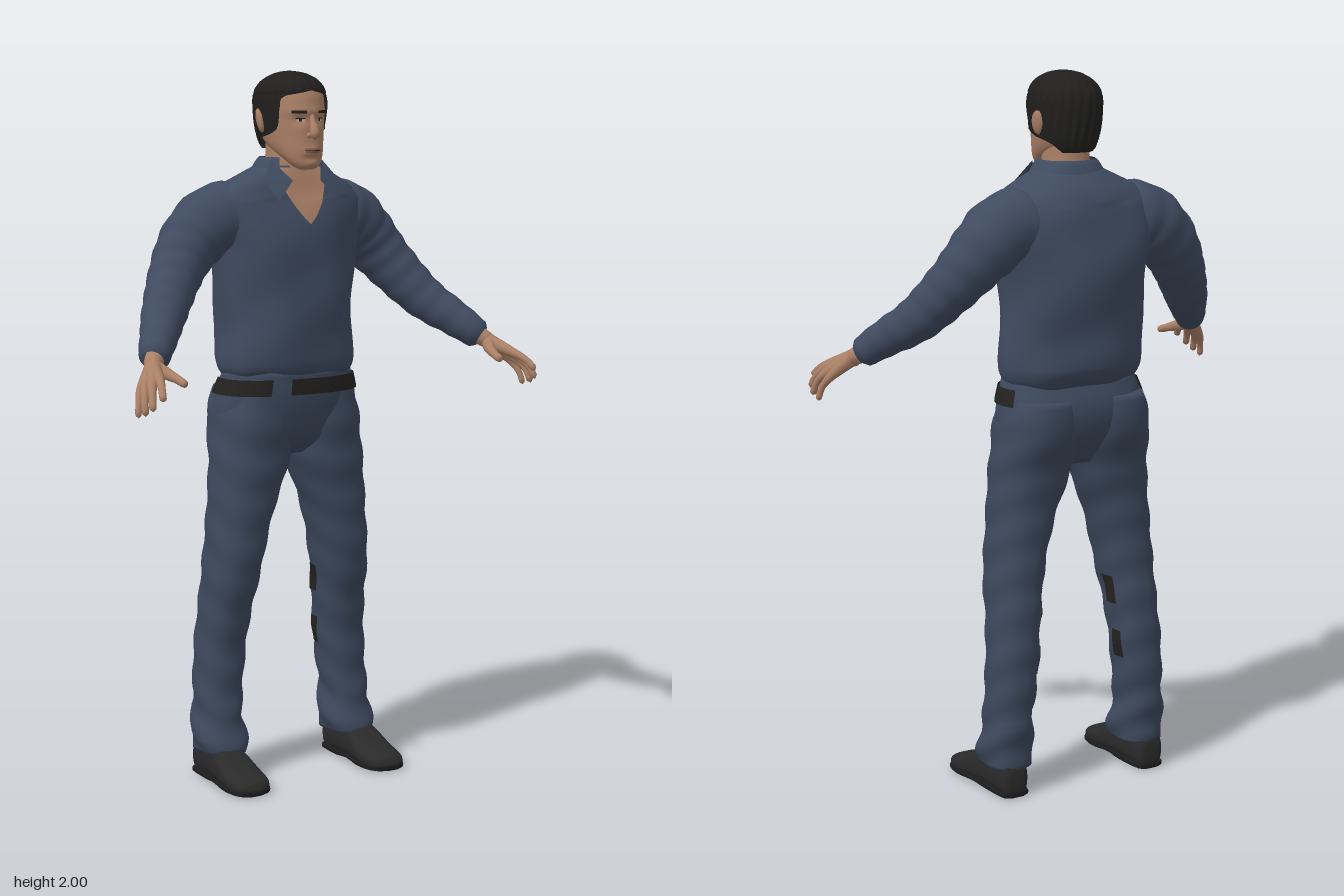
import * as THREE from 'three';
import { mergeVertices } from 'three/addons/utils/BufferGeometryUtils.js';

const paint = (name, color) => Object.assign(new THREE.MeshStandardMaterial({ color, side: THREE.DoubleSide }), { name });
const PI = Math.PI;

// Smooth interpolation of table rows, keyed by their first column
function sample(rows, y) {
  let i = 0;
  while (i < rows.length - 2 && y > rows[i + 1][0]) i++;
  const a = rows[i], b = rows[i + 1], h = b[0] - a[0], u = THREE.MathUtils.clamp((y - a[0]) / h, 0, 1);
  const slope = (k, c) => {
    const p = rows[Math.max(k - 1, 0)], q = rows[Math.min(k + 1, rows.length - 1)];
    return (q[c] - p[c]) / (q[0] - p[0]);
  };
  return a.map((v, c) => c === 0 ? y :
    v * (1 + 2 * u) * (1 - u) ** 2 + b[c] * u * u * (3 - 2 * u) +
    h * (slope(i, c) * u * (1 - u) ** 2 - slope(i + 1, c) * u * u * (1 - u)));
}

// Skin over rows of [y, xMin, xMax, zBack, zFront]; arc(y) limits it to an open patch
function loft(rows, { seg = 40, exp = 2.3, grow = 0, range, arc, bump = () => 0 } = {}) {
  const ys = [], pos = [], idx = [], cols = arc ? seg + 1 : seg;
  if (range) for (let i = 0; i <= 10; i++) ys.push(range[0] + (range[1] - range[0]) * i / 10);
  else {
    for (let i = 0; i < rows.length - 1; i++)
      for (let k = 0; k < 5; k++) ys.push(rows[i][0] + (rows[i + 1][0] - rows[i][0]) * k / 5);
    ys.push(rows[rows.length - 1][0]);
  }
  const pw = v => Math.sign(v) * Math.abs(v) ** (2 / exp);
  for (const y of ys) {
    const [, x0, x1, zb, zf] = sample(rows, y), [a0, a1] = arc ? arc(y) : [0, 2 * PI];
    for (let j = 0; j < cols; j++) {
      const a = a0 + (a1 - a0) * j / seg, c = Math.cos(a), s = Math.sin(a);
      const x = (x0 + x1) / 2 + (x1 - x0) / 2 * pw(c), z = (zb + zf) / 2 + (zf - zb) / 2 * pw(s);
      const d = grow + bump(x, y, z, a);
      pos.push(x + c * d, y, z + s * d);
    }
  }
  for (let i = 0; i < ys.length - 1; i++)
    for (let j = 0; j < seg; j++) {
      const a = i * cols + j, b = i * cols + (j + 1) % cols;
      idx.push(a, a + cols, b, b, a + cols, b + cols);
    }
  if (!arc) for (const top of [0, 1]) {
    const r = sample(rows, ys[top * (ys.length - 1)]), base = top * (ys.length - 1) * cols, m = pos.length / 3;
    pos.push((r[1] + r[2]) / 2, r[0], (r[3] + r[4]) / 2);
    for (let j = 0; j < seg; j++) {
      const a = base + j, b = base + (j + 1) % seg;
      top ? idx.push(m, b, a) : idx.push(m, a, b);
    }
  }
  const g = new THREE.BufferGeometry();
  g.setAttribute('position', new THREE.Float32BufferAttribute(pos, 3));
  g.setIndex(idx);
  g.computeVertexNormals();
  return g;
}

// Tube through points of [x, y, z, radius]
function limb(pts, s = 1, n = 24, seg = 14, fold = 0) {
  const curve = new THREE.CatmullRomCurve3(pts.map(p => new THREE.Vector3(p[0] * s, p[1], p[2])), false, 'catmullrom');
  const radii = pts.map((p, i) => [i, p[3]]);
  let g = new THREE.TubeGeometry(curve, n, 1, seg);
  const p = g.attributes.position, v = new THREE.Vector3();
  for (let i = 0; i <= n; i++) {
    const c = curve.getPointAt(i / n), r = Math.max(sample(radii, curve.getUtoTmapping(i / n) * (pts.length - 1))[1], 0);
    for (let j = 0; j <= seg; j++) {
      const k = i * (seg + 1) + j, w = 1 + fold * Math.sin(i * 1.3 + 2 * Math.sin(j / seg * 2 * PI));
      v.fromBufferAttribute(p, k).sub(c).multiplyScalar(r * w).add(c);
      p.setXYZ(k, v.x, v.y, v.z);
    }
  }
  g.deleteAttribute('normal');
  g.deleteAttribute('uv');
  g = mergeVertices(g, 1e-5);
  g.computeVertexNormals();
  return g;
}

const sym = rows => rows.map(([y, x, zb, zf]) => [y, -x, x, zb, zf]);
const side = (rows, s) => s > 0 ? rows : rows.map(([y, a, b, c, d]) => [y, -b, -a, c, d]);
const arcSide = (a0, a1, s) => () => s > 0 ? [a0, a1] : [PI - a1, PI - a0];

const TORSO = sym([[1.15, .185, -.21, .015], [1.175, .2, -.235, .035], [1.21, .205, -.255, .042], [1.3, .2, -.26, .043],
  [1.4, .203, -.272, .043], [1.5, .215, -.275, .04], [1.58, .235, -.262, .028], [1.64, .235, -.245, .013],
  [1.68, .205, -.225, 0], [1.71, .15, -.2, -.008], [1.74, .088, -.17, -.02]]);
const PELVIS = sym([[.93, .13, -.17, -.04], [.97, .2, -.2, -.005], [1.03, .222, -.23, .014], [1.1, .215, -.236, .025], [1.17, .193, -.21, .025]]);
const LEG = [[.08, .147, .284, -.192, -.032], [.12, .14, .29, -.2, -.035], [.2, .15, .28, -.205, -.055], [.3, .14, .275, -.21, -.058],
  [.4, .13, .27, -.21, -.055], [.5, .12, .262, -.205, -.035], [.6, .105, .257, -.198, -.01], [.7, .085, .25, -.194, -.002],
  [.8, .055, .243, -.194, .002], [.9, .015, .237, -.203, .008], [.97, .002, .231, -.222, .01], [1.05, .003, .221, -.246, .015], [1.12, .02, .2, -.235, .005]];
const SHOE = [[-.2, .2, .245, -.075, -.02], [-.19, .185, .26, -.1, 0], [-.1, .175, .27, -.112, 0], [-.04, .172, .278, -.1, 0],
  [.03, .165, .285, -.062, 0], [.08, .17, .282, -.046, 0], [.105, .185, .27, -.036, -.003], [.115, .21, .25, -.02, -.008]];
const HEAD = sym([[1.73, .018, -.005, .03], [1.738, .035, -.02, .036], [1.76, .053, -.06, .041], [1.79, .067, -.13, .042], [1.82, .074, -.165, .041],
  [1.86, .08, -.182, .04], [1.9, .083, -.187, .039], [1.94, .08, -.18, .03], [1.97, .062, -.15, .01], [1.99, .03, -.11, -.03]]);
const HAIR = sym([[1.785, .068, -.168, .03], [1.8, .076, -.18, .035], [1.84, .086, -.192, .045], [1.9, .091, -.197, .046],
  [1.94, .089, -.192, .039], [1.97, .073, -.17, .02], [1.99, .045, -.135, -.015], [1.997, .022, -.11, -.045], [2, .001, -.08, -.078]]);
const HAIRLINE = [[1.785, 2.4], [1.81, 2], [1.83, 1.3], [1.85, 1.08], [1.9, .98], [1.932, .8], [1.946, 0], [2, 0]];
const FINGERS = {
  index: [[.574, 1.205, .203, .014], [.59, 1.187, .245, .01], [.601, 1.163, .272, .009], [.602, 1.158, .277, 0]],
  middle: [[.59, 1.197, .193, .015], [.61, 1.168, .23, .0105], [.619, 1.136, .25, .009], [.62, 1.13, .254, 0]],
  ring: [[.6, 1.187, .175, .015], [.62, 1.155, .207, .01], [.626, 1.121, .222, .009], [.627, 1.115, .225, 0]],
  little: [[.602, 1.178, .155, .013], [.62, 1.145, .175, .009], [.627, 1.112, .185, .008], [.627, 1.106, .187, 0]],
  thumb: [[.53, 1.215, .155, .017], [.517, 1.202, .195, .012], [.512, 1.192, .228, .01], [.511, 1.19, .236, 0]],
};

export function createModel() {
  const root = new THREE.Group();
  root.name = 'standingMan';
  const shirt = paint('shirtBlue', 0x3f4b60), cloth = paint('trouserBlue', 0x3c485c), skin = paint('skin', 0xaa8066),
    hair = paint('hairBlack', 0x201f1e), leather = paint('shoeLeather', 0x2a2a2b), soleMat = paint('soleRubber', 0x1c1c1c),
    beltMat = paint('beltDark', 0x24221f), lip = paint('lipBrown', 0x8a5f50), white = paint('eyeWhite', 0xb8aaa0);
  const add = (name, geo, mat) => {
    const m = new THREE.Mesh(geo, mat);
    m.name = name;
    root.add(m);
    return m;
  };

  // Shirt body with soft folds, and the open neck
  const folds = (x, y, z, a) => .003 * Math.sin(3 * a + y * 26) + .003 * Math.sin(7 * a - y * 9) * (y < 1.65 ? 1 : 0);
  add('shirtBody', loft(TORSO, { seg: 56, bump: folds }), shirt);
  const vee = [[1.58, 0], [1.7, .36], [1.735, .75]];
  add('openNeckSkin', loft(TORSO, { seg: 12, grow: .004, bump: folds, range: [1.58, 1.735],
    arc: y => { const h = sample(vee, y)[1]; return [PI / 2 - h, PI / 2 + h]; } }), skin);
  add('neck', loft(sym([[1.66, .07, -.16, -.02], [1.72, .063, -.155, -.012], [1.78, .06, -.15, -.015], [1.84, .06, -.15, -.02]])), skin);
  add('collarBand', loft(sym([[1.69, .118, -.197, .012], [1.73, .1, -.182, .003], [1.755, .085, -.17, -.006], [1.763, .077, -.163, -.012]]),
    { arc: y => { const h = .6 + (y - 1.69) * 3; return [PI / 2 + h, 2.5 * PI - h]; } }), shirt);

  // Trousers and the belt showing under the shirt
  add('trouserSeat', loft(PELVIS), cloth);
  for (const [name, a0, a1] of [['beltLeft', -.35, 1.8], ['beltRight', 2.08, 3.5]])
    add(name, loft(PELVIS, { seg: 20, grow: .006, range: [1.105, 1.15], arc: () => [a0, a1] }), beltMat);

  // Head and face
  const bell = (x, y, w, h) => Math.exp(-((x / w) ** 2) - (y / h) ** 2);
  const face = (x, y, z) => z < -.03 ? 0 : -.008 * bell(Math.abs(x) - .033, y - 1.866, .017, .012) + .004 * bell(x, y - 1.889, .06, .009)
    + .005 * bell(x, y - 1.782, .026, .013) - .003 * bell(x, y - 1.762, .03, .007) + .004 * bell(x, y - 1.745, .02, .009);
  const onFace = (name, mat, y0, y1, a0, a1, grow, s = 1) =>
    add(name, loft(HEAD, { seg: 10, exp: 2.2, grow, bump: face, range: [y0, y1], arc: arcSide(PI / 2 - a1, PI / 2 - a0, s) }), mat);
  add('head', loft(HEAD, { seg: 64, exp: 2.2, bump: face }), skin);
  add('nose', limb([[0, 1.888, .033, .005], [0, 1.86, .045, .009], [0, 1.834, .054, .0135], [0, 1.822, .053, .012], [0, 1.815, .045, 0]]), skin);
  onFace('mouth', lip, 1.776, 1.788, -.3, .3, .002);
  onFace('lipLine', beltMat, 1.7815, 1.7835, -.33, .33, .003);
  add('hair', loft(HAIR, { seg: 90, exp: 2.2, bump: (x, y, z, a) => y > 1.985 ? 0 : .0015 * Math.sin(a * 23 + y * 30),
    arc: y => { const h = Math.max(sample(HAIRLINE, y)[1], 0); return [PI / 2 + h, 2.5 * PI - h]; } }), hair);

  for (const s of [1, -1]) {
    const p = s > 0 ? 'left' : 'right';

    // Eyes, brows and ears
    onFace(p + 'Brow', hair, 1.884, 1.892, .18, .66, .002, s);
    onFace(p + 'Eye', white, 1.862, 1.87, .24, .52, .002, s);
    onFace(p + 'Iris', hair, 1.862, 1.87, .33, .43, .003, s);
    onFace(p + 'Eyelid', hair, 1.869, 1.872, .22, .55, .003, s);
    const ear = add(p + 'Ear', new THREE.SphereGeometry(1, 16, 12), skin);
    ear.scale.set(.01, .034, .02);
    ear.position.set(.09 * s, 1.863, -.088);
    ear.rotation.set(-.15, .35 * s, -.15 * s);
    const nostril = add(p + 'Nostril', new THREE.SphereGeometry(.008, 10, 8), skin);
    nostril.position.set(.011 * s, 1.824, .044);

    // Collar points
    const flap = new THREE.BufferGeometry();
    const corners = [[.045, 1.7, .012], [.082, 1.758, -.045], [.122, 1.7, -.014], [.095, 1.645, .022]];
    flap.setAttribute('position', new THREE.Float32BufferAttribute(corners.flatMap(c => [c[0] * s, c[1], c[2]]), 3));
    flap.setIndex(s > 0 ? [0, 2, 1, 0, 3, 2] : [0, 1, 2, 0, 2, 3]);
    flap.computeVertexNormals();
    add(p + 'CollarPoint', flap, shirt);

    // Sleeve
    add(p + 'Sleeve', limb([[.1, 1.6, -.12, .06], [.16, 1.598, -.125, .098], [.225, 1.583, -.13, .1], [.29, 1.53, -.13, .089], [.35, 1.455, -.103, .076],
      [.425, 1.355, -.035, .063], [.485, 1.295, .04, .052], [.53, 1.25, .095, .042], [.538, 1.243, .104, .03]], s, 50, 24, .025), shirt);

    // Hand: each finger runs on from the wrist so the bones form the palm
    for (const [f, pts] of Object.entries(FINGERS))
      add(p + f[0].toUpperCase() + f.slice(1) + (f === 'thumb' ? '' : 'Finger'), limb([[.525, 1.252, .092, .026], [.548, 1.232, .122, .023], ...pts], s, 26, 12), skin);

    // Leg, worn patches inside the knee, and shoe
    const leg = side(LEG, s);
    const creases = (x, y, z, a) => (y < .25 ? .005 : .0025) * Math.sin(y * 55 + 3 * Math.sin(a));
    add(p + 'TrouserLeg', loft(leg, { bump: creases }), cloth);
    for (const [y0, y1] of [[.34, .42], [.5, .58]])
      add(p + 'KneePatch', loft(leg, { seg: 8, grow: .003, bump: creases, range: [y0, y1], arc: arcSide(PI, PI * 1.14, s) }), beltMat);
    const shoe = side(SHOE, s);
    add(p + 'Shoe', loft(shoe, { exp: 2.7 }).rotateX(PI / 2), leather);
    const sole = shoe.map(([z, a, b], i) => [z, a - .003, b + .003, -.016, i === 3 ? -.006 : 0]);
    add(p + 'Sole', loft(sole, { exp: 5 }).rotateX(PI / 2), soleMat);
  }
  return root;
}
